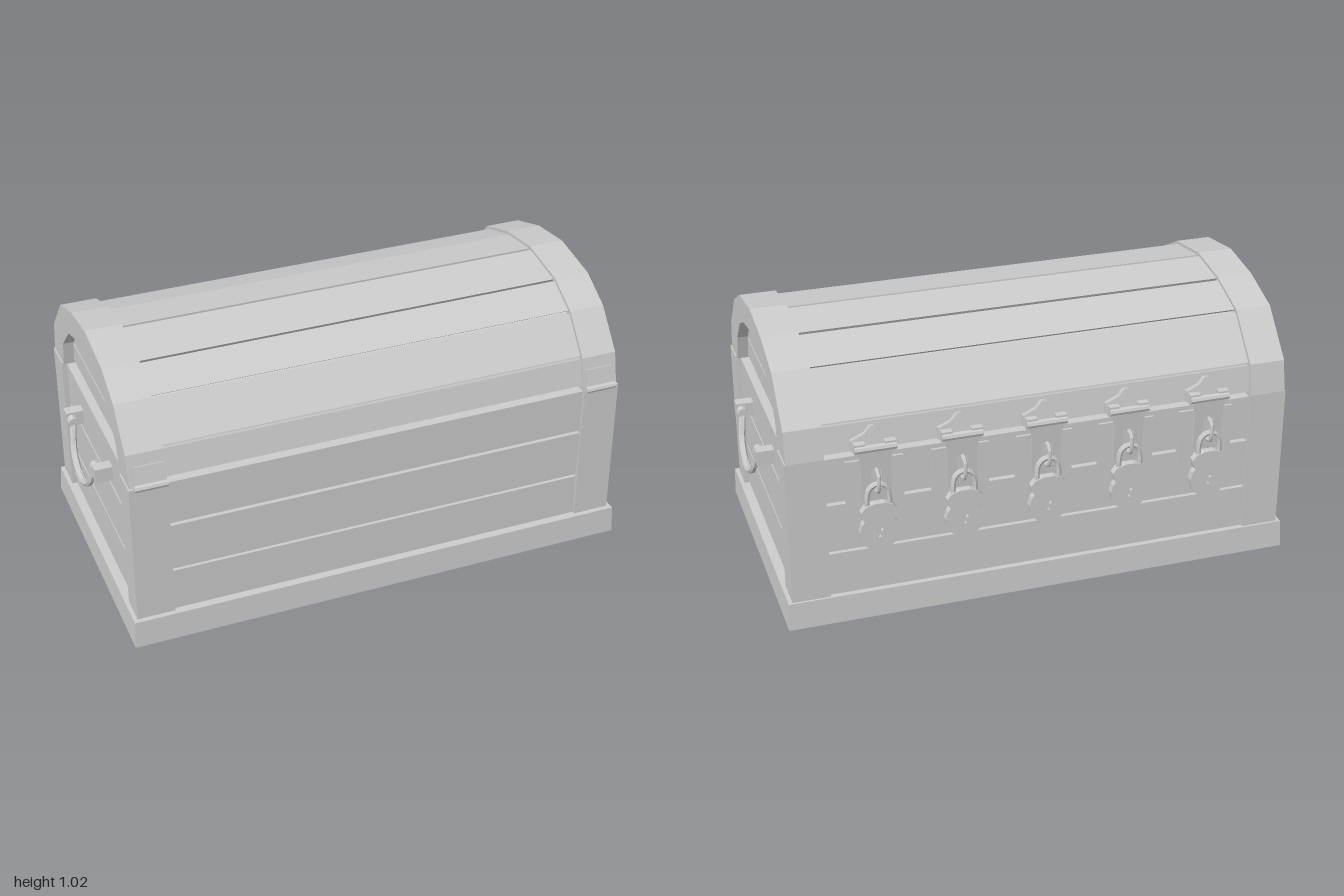
import * as THREE from 'three';

const mat = new THREE.MeshStandardMaterial({ color: 0xcccccc, flatShading: true });

function add(parent, name, geo, x = 0, y = 0, z = 0) {
  const m = new THREE.Mesh(geo, mat);
  m.name = name;
  m.position.set(x, y, z);
  parent.add(m);
  return m;
}
// Box given by its limits on each axis
function box(parent, name, [x0, x1], [y0, y1], [z0, z1]) {
  return add(parent, name, new THREE.BoxGeometry(x1 - x0, y1 - y0, z1 - z0),
    (x0 + x1) / 2, (y0 + y1) / 2, (z0 + z1) / 2);
}
const toShape = pts => new THREE.Shape(pts.map(p => new THREE.Vector2(...p)));
const extrude = (shape, depth, curveSegments = 6) =>
  new THREE.ExtrudeGeometry(shape, { depth, bevelEnabled: false, curveSegments });
// Extrude a (z, y) outline along x, centred on x = 0
const alongX = (pts, w) => extrude(toShape(pts), w).rotateY(-Math.PI / 2).translate(w / 2, 0, 0);
const scaled = (pts, s) => pts.map(([z, y]) => [0.02 + (z - 0.02) * s, 0.66 + (y - 0.66) * s]);
function tube(pts, r, sides = 6, n = 16) {
  const curve = new THREE.CatmullRomCurve3(pts.map(p => new THREE.Vector3(...p)));
  return new THREE.TubeGeometry(curve, n, r, sides);
}

// Arch outlines as (z, y)
const outer = [[0.522, 0.66], [0.495, 0.78], [0.38, 0.917], [0.25, 0.988], [0.04, 1.02],
  [-0.148, 0.994], [-0.323, 0.935], [-0.469, 0.777], [-0.49, 0.66]];
const inner = [[0.404, 0.66], [0.374, 0.76], [0.285, 0.86], [0.19, 0.902], [0.04, 0.926],
  [-0.107, 0.905], [-0.226, 0.866], [-0.338, 0.76], [-0.356, 0.66]];

function buildBody() {
  const g = new THREE.Group();
  g.name = 'body';
  // Slightly tapered plinth
  const base = new THREE.BoxGeometry(1.92, 0.105, 1.06);
  const p = base.attributes.position;
  for (let i = 0; i < p.count; i++) {
    if (p.getY(i) > 0) p.setXYZ(i, p.getX(i) * 0.995, p.getY(i), p.getZ(i) * 0.988);
  }
  add(g, 'plinth', base, 0, 0.0525, 0.025);
  box(g, 'bodyCore', [-0.895, 0.895], [0.1, 0.645], [-0.455, 0.495]);
  for (const s of [-1, 1]) {
    const xs = s > 0 ? [0.8, 0.94] : [-0.94, -0.8];
    box(g, 'cornerPost', xs, [0.1, 0.66], [0.42, 0.53]);
    box(g, 'cornerPost', xs, [0.1, 0.66], [-0.49, -0.37]);
  }
  // Planks on all four sides, parted by narrow gaps
  for (const ys of [[0.1, 0.272], [0.282, 0.468], [0.48, 0.652]]) {
    box(g, 'frontPlank', [-0.8, 0.8], ys, [0.48, 0.518]);
    box(g, 'backPlank', [-0.8, 0.8], ys, [-0.478, -0.44]);
    for (const s of [-1, 1]) {
      box(g, 'endPlank', s > 0 ? [0.88, 0.92] : [-0.92, -0.88], ys, [-0.37, 0.42]);
    }
  }
  return g;
}

function buildLid() {
  const g = new THREE.Group();
  g.name = 'lid';
  const core = scaled(outer, 0.93);
  core[0][1] = core[core.length - 1][1] = 0.67;
  add(g, 'lidCore', alongX(core, 1.62));
  // One plank for each facet of the curve
  const hi = scaled(outer, 0.97), lo = scaled(outer, 0.9);
  for (let i = 0; i < hi.length - 1; i++) {
    const gap = (a, b, t) => [a[0] + (b[0] - a[0]) * t, a[1] + (b[1] - a[1]) * t];
    const d = 0.006 / Math.hypot(hi[i + 1][0] - hi[i][0], hi[i + 1][1] - hi[i][1]);
    const t0 = i === 0 ? 0.08 : d, t1 = i === hi.length - 2 ? 0.92 : 1 - d;
    add(g, 'lidPlank', alongX([gap(hi[i], hi[i + 1], t0), gap(hi[i], hi[i + 1], t1),
      gap(lo[i], lo[i + 1], t1), gap(lo[i], lo[i + 1], t0)], 1.6));
  }
  // Arched end bands with recessed, planked ends
  const band = [...outer, ...inner.slice().reverse()];
  const panels = [
    [[0.42, 0.672], [0.38, 0.752], [-0.35, 0.752], [-0.37, 0.672]],
    [[0.39, 0.76], [0.27, 0.866], [-0.24, 0.872], [-0.35, 0.76]],
    [[0.3, 0.874], [0.19, 0.91], [0.04, 0.935], [-0.107, 0.912], [-0.25, 0.88]],
  ];
  for (const s of [-1, 1]) {
    add(g, 'archBand', alongX(band, 0.135), s * 0.8675);
    box(g, 'endBacking', s > 0 ? [0.8, 0.875] : [-0.875, -0.8], [0.69, 0.86], [-0.27, 0.31]);
    for (const o of panels) add(g, 'lidEndPlank', alongX(o, 0.08), s * 0.855);
  }
  return g;
}

// Drop handle on the +x end
function buildHandle() {
  const g = new THREE.Group();
  g.name = 'sideHandle';
  for (const [z, s] of [[0.217, -1], [-0.178, 1]]) {
    box(g, 'handleMount', [0.915, 0.985], [0.515, 0.57], [z - 0.022, z + 0.022]);
    add(g, 'handlePivot', new THREE.CylinderGeometry(0.019, 0.019, 0.05, 8).rotateX(Math.PI / 2),
      0.966, 0.545, z + s * 0.028);
  }
  add(g, 'handleBar', tube([[0.966, 0.545, 0.18], [0.972, 0.505, 0.16], [0.98, 0.455, 0.137],
    [0.985, 0.412, 0.08], [0.986, 0.4, 0.02], [0.985, 0.412, -0.04], [0.98, 0.455, -0.097],
    [0.972, 0.505, -0.12], [0.966, 0.545, -0.14]], 0.012));
  add(g, 'handleGrip', new THREE.CylinderGeometry(0.014, 0.014, 0.07, 8).rotateX(Math.PI / 2),
    0.986, 0.4, 0.02);
  return g;
}

// Hinge on a front corner
function buildHinge(x) {
  const g = new THREE.Group();
  g.name = 'hinge';
  box(g, 'hingeLowerLeaf', [x - 0.055, x + 0.055], [0.59, 0.662], [0.525, 0.534]);
  const leaf = box(g, 'hingeUpperLeaf', [x - 0.055, x + 0.055], [0.665, 0.74], [0.515, 0.524]);
  leaf.rotation.x = -0.22;
  add(g, 'hingeBarrel', new THREE.CylinderGeometry(0.013, 0.013, 0.12, 8).rotateZ(Math.PI / 2),
    x, 0.667, 0.537);
  return g;
}

// Symmetric outline from its right half, listed from bottom to top
const mirrored = half => toShape([...half, ...half.slice().reverse().map(([x, y]) => [-x, y])]);

function hole(shape, pts) {
  shape.holes.push(new THREE.Path(pts.map(p => new THREE.Vector2(...p))));
  return shape;
}

// Hasp and padlock, built facing +z and later turned to the back
function buildLock() {
  const g = new THREE.Group();
  g.name = 'haspAndPadlock';
  const plate = mirrored([[0.04, 0.36], [0.105, 0.4], [0.105, 0.635]]);
  add(g, 'backPlate', extrude(plate, 0.018), 0, 0, 0.47);
  const leaf = mirrored([[0.08, 0.0], [0.08, 0.04], [0.03, 0.06], [0.008, 0.085]]);
  add(g, 'lidLeaf', extrude(leaf, 0.022), 0, 0.672, 0.473).rotation.x = -0.18;
  add(g, 'haspBarrel', new THREE.CylinderGeometry(0.014, 0.014, 0.15, 8).rotateZ(Math.PI / 2),
    0, 0.69, 0.512);
  for (const x of [-0.055, 0.055]) box(g, 'haspKnuckle', [x - 0.02, x + 0.02], [0.67, 0.71], [0.485, 0.515]);
  // Slotted strap folding down over the staple
  const strap = hole(mirrored([[0.035, -0.22], [0.055, -0.19], [0.055, -0.05], [0.065, 0]]),
    [[-0.02, -0.16], [-0.02, -0.08], [0.02, -0.08], [0.02, -0.16]]);
  add(g, 'haspStrap', extrude(strap, 0.012), 0, 0.69, 0.507).rotation.x = 0.06;
  add(g, 'staple', tube([[0, 0.608, 0.47], [0, 0.608, 0.525], [0, 0.602, 0.544], [0, 0.58, 0.549],
    [0, 0.545, 0.547], [0, 0.527, 0.535], [0, 0.522, 0.47]], 0.007));
  // Padlock
  const body = mirrored([[0.025, 0.302], [0.05, 0.318], [0.068, 0.345], [0.072, 0.375], [0.064, 0.405],
    [0.054, 0.418], [0.064, 0.435], [0.066, 0.455], [0.05, 0.475], [0.02, 0.485]]);
  hole(body, [[-0.005, 0.35], [0.005, 0.35], [0.005, 0.372], [0.012, 0.38], [0.009, 0.392],
    [-0.009, 0.392], [-0.012, 0.38], [-0.005, 0.372]]);
  add(g, 'padlockBody', extrude(body, 0.028), 0, 0, 0.515);
  box(g, 'keyholeBacking', [-0.02, 0.02], [0.34, 0.4], [0.519, 0.53]);
  add(g, 'padlockShackle', tube([[0.04, 0.465, 0.529], [0.04, 0.51, 0.529], [0.03, 0.543, 0.529],
    [0, 0.557, 0.529], [-0.03, 0.543, 0.529], [-0.04, 0.51, 0.529], [-0.04, 0.465, 0.529]], 0.01));
  return g;
}

export function createModel() {
  const chest = new THREE.Group();
  chest.name = 'chest';
  chest.add(buildBody(), buildLid());
  for (const s of [-1, 1]) {
    const handle = buildHandle();
    // Turning about y swaps the ends, so shift to keep the handle centre
    if (s < 0) {
      handle.rotation.y = Math.PI;
      handle.position.z = 0.04;
    }
    chest.add(handle, buildHinge(s * 0.862));
  }
  for (let i = -2; i <= 2; i++) {
    const lock = buildLock();
    lock.rotation.y = Math.PI;
    lock.position.x = i * 0.312;
    chest.add(lock);
  }
  return chest;
}
